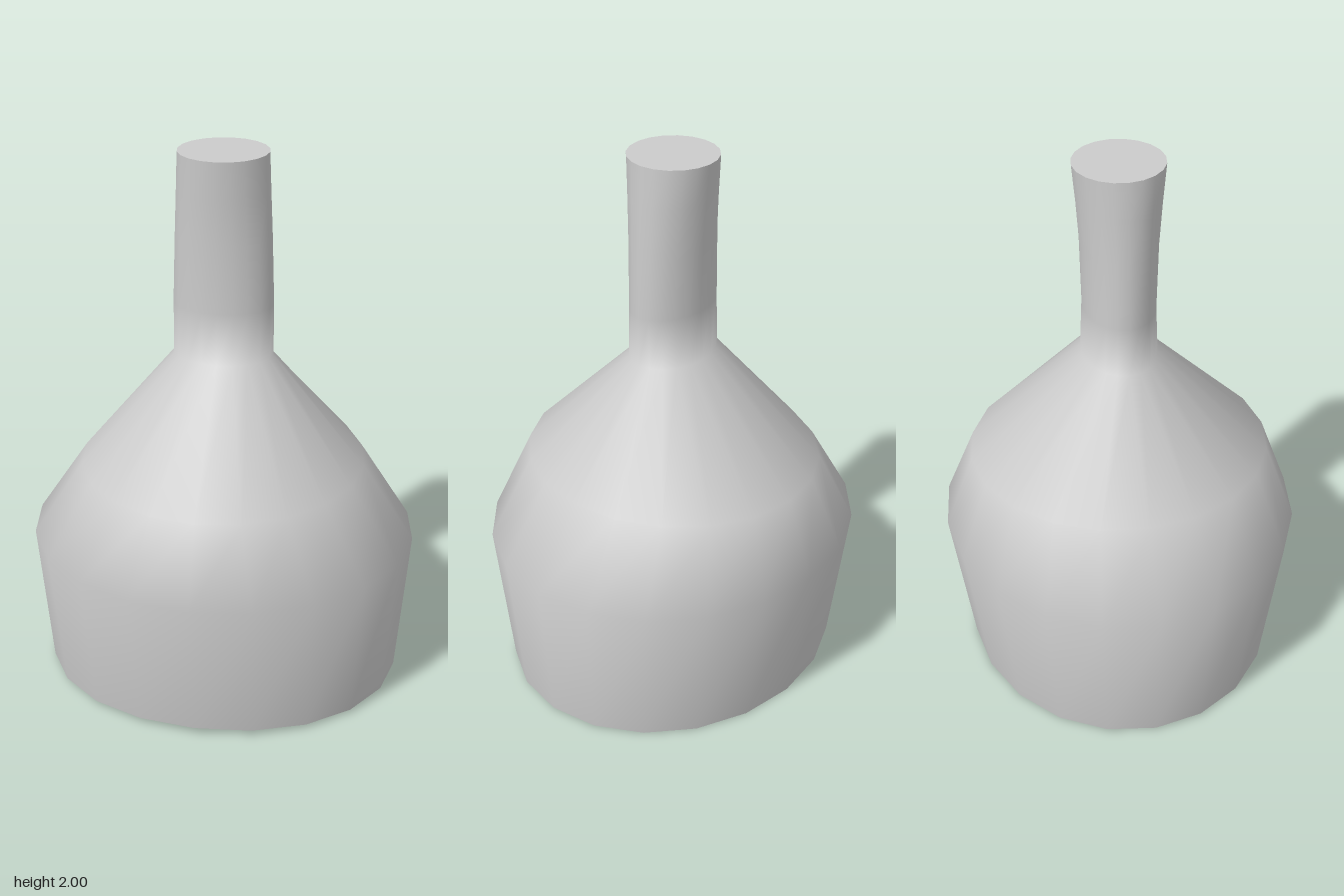
import * as THREE from 'three';
import { mergeVertices } from 'three/addons/utils/BufferGeometryUtils.js';

const SIDES = 20;
// Elliptical cross-sections from the rim down: [height, half width, half depth]
const RINGS = [
  [2, 0.16, 0.16],
  [1.86, 0.166, 0.147],
  [1.7, 0.173, 0.135],
  [1.45, 0.181, 0.128],
  [1.26, 0.181, 0.136],
  [0.85, 0.52, 0.55],
  [0.565, 0.71, 0.655],
  [0.01, 0.665, 0.575],
];

// Point on a ring; the base ring lifts slightly towards the front
function ringPoint(row, i) {
  const [y, rx, rz] = RINGS[row];
  const a = (i / SIDES) * Math.PI * 2;
  const c = Math.cos(a);
  const lift = row === RINGS.length - 1 ? 0.007 * c + 0.013 * Math.max(0, c) ** 6 : 0;
  return [Math.sin(a) * rx, y + lift, c * rz];
}

// Smooth wall: an open cylinder whose rows are moved onto the rings
function wallGeometry() {
  let geo = new THREE.CylinderGeometry(1, 1, 1, SIDES, RINGS.length - 1, true);
  const pos = geo.attributes.position;
  for (let v = 0; v < pos.count; v++) {
    const row = Math.floor(v / (SIDES + 1));
    pos.setXYZ(v, ...ringPoint(row, (v % (SIDES + 1)) % SIDES));
  }
  geo.deleteAttribute('uv');
  geo.deleteAttribute('normal');
  geo = mergeVertices(geo);
  geo.computeVertexNormals();
  return geo;
}

// Fan that closes a ring, facing up or down
function capGeometry(row, up) {
  const points = [0, RINGS[row][0], 0];
  const index = [];
  for (let i = 0; i < SIDES; i++) {
    points.push(...ringPoint(row, i));
    const a = i + 1, b = ((i + 1) % SIDES) + 1;
    index.push(0, up ? a : b, up ? b : a);
  }
  const geo = new THREE.BufferGeometry();
  geo.setAttribute('position', new THREE.Float32BufferAttribute(points, 3));
  geo.setIndex(index);
  geo.computeVertexNormals();
  return geo;
}

export function createModel() {
  const group = new THREE.Group();
  group.name = 'bottle';
  const material = new THREE.MeshStandardMaterial({ color: 0xcccccc });
  const add = (name, geometry) => {
    const mesh = new THREE.Mesh(geometry, material);
    mesh.name = name;
    group.add(mesh);
  };
  add('bodyAndNeck', wallGeometry());
  add('neckTop', capGeometry(0, true));
  add('base', capGeometry(RINGS.length - 1, false));
  return group;
}
